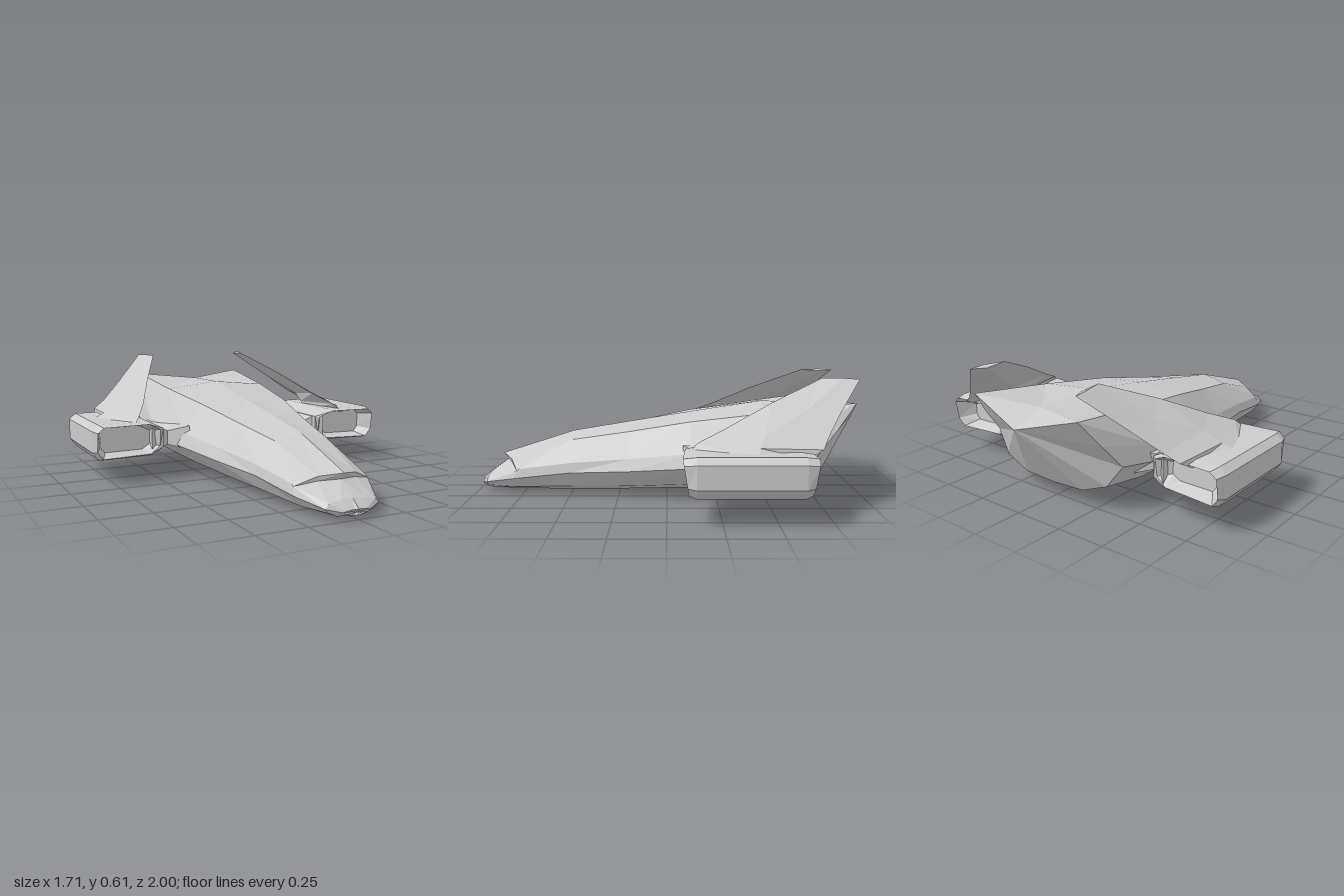
import * as THREE from 'three';

const material = new THREE.MeshStandardMaterial({ color: 0xcccccc, flatShading: true });

// Skin over closed rings of [x, y, z]; each end closes on its centre or a given apex.
function loft(name, rings, apexStart, apexEnd) {
  const n = rings[0].length;
  const centre = ring => [0, 1, 2].map(k => ring.reduce((s, p) => s + p[k], 0) / n);
  const tris = [];
  for (let r = 0; r + 1 < rings.length; r++) {
    for (let i = 0; i < n; i++) {
      const j = (i + 1) % n;
      const a = rings[r][i], b = rings[r][j], c = rings[r + 1][j], d = rings[r + 1][i];
      if (i < n / 2) tris.push([a, b, c], [a, c, d]);
      else tris.push([a, b, d], [b, c, d]); // mirrored diagonal
    }
  }
  const first = rings[0], last = rings[rings.length - 1];
  const s = apexStart || centre(first), e = apexEnd || centre(last);
  for (let i = 0; i < n; i++) {
    const j = (i + 1) % n;
    tris.push([s, first[j], first[i]], [e, last[i], last[j]]);
  }
  // Turn every face outward using the signed volume
  const v = tris.map(t => t.map(p => new THREE.Vector3(...p)));
  const volume = v.reduce((sum, [a, b, c]) => sum + a.dot(b.clone().cross(c)), 0);
  if (volume < 0) v.forEach(t => t.reverse());
  const geometry = new THREE.BufferGeometry().setFromPoints(v.flat());
  geometry.computeVertexNormals();
  const mesh = new THREE.Mesh(geometry, material);
  mesh.name = name;
  return mesh;
}

// Full hull ring from a right-hand half running from keel to spine
function hullRing(z, half) {
  const pts = half.map(([x, y, pz = z]) => [x, y, pz]);
  const other = pts.slice(1, -1).reverse().map(([x, y, pz]) => [-x, y, pz]);
  return [...pts, ...other];
}

function createHull() {
  const lower = [[0, .005], [.1, .007], [.165, .03], [.205, .08]];
  return loft('hull', [
    // nose
    hullRing(.99, [[0, .02, 1], [.03, .02], [.055, .028], [.07, .035, .985], [.05, .042], [.02, .045], [0, .046, 1]]),
    hullRing(.95, [[0, .01], [.08, .012], [.12, .03], [.14, .05], [.12, .07], [.06, .082], [0, .087]]),
    // recess under the brow, then the brow
    hullRing(.8, [...lower, [.2, .12, .78], [.1, .142, .82], [0, .15, .86]]),
    hullRing(.8, [...lower, [.2, .13, .77], [.1, .165, .825], [0, .182, .885]]),
    // body
    hullRing(.5, [[0, 0], [.12, .008], [.2, .04], [.25, .12], [.24, .17], [.14, .275], [0, .305]]),
    hullRing(.2, [[0, .002], [.13, .012], [.24, .05], [.315, .14], [.29, .2], [.19, .325], [0, .355]]),
    hullRing(-.12, [[0, .015], [.15, .022], [.29, .07], [.39, .17], [.365, .24], [.25, .385], [0, .407]]),
    hullRing(-.5, [[0, .045], [.17, .053], [.32, .09], [.425, .2], [.41, .27], [.3, .435], [0, .465]]),
    // stern rim
    hullRing(-.77, [[0, .07], [.18, .078], [.32, .13, -.76], [.4, .24, -.74], [.37, .36, -.84], [.325, .49, -.94], [0, .46, -.83]]),
  ], null, [0, .4, -1]);
}

// Engine pod with hollow ends
const podProfile = [
  [.855, .17], [.855, .28], [.82, .31], [.55, .31],
  [.47, .27], [.47, .17], [.53, .13], [.82, .125],
];
function podRing(z, scale, slant = 0) {
  const cx = .67, cy = .22;
  return podProfile.map(([x, y]) => [
    cx + (x - cx) * scale,
    cy + (y - cy) * scale,
    z + slant * (Math.max(0, .6 - x) * 2 + (.31 - y)), // ends rake back at the inner side and below
  ]);
}
const podRings = [
  podRing(-.18, .7), podRing(-.07, .9, -.15), podRing(-.13, 1),
  podRing(-.61, 1), podRing(-.67, .9, .15), podRing(-.57, .6),
];

// Swept fin leaning inward: leading edge, outer face, trailing edge, inner face
const finRings = [
  [[.295, .612, -.77], [.325, .614, -.87], [.33, .608, -.95], [.295, .604, -.88]],
  [[.425, .5, -.5], [.5, .465, -.65], [.5, .46, -.82], [.44, .46, -.66]],
  [[.53, .39, -.27], [.63, .375, -.45], [.62, .36, -.74], [.55, .365, -.5]],
  [[.6, .335, -.14], [.71, .33, -.42], [.685, .32, -.71], [.56, .32, -.45]],
  [[.64, .29, -.1], [.8, .29, -.4], [.7, .28, -.64], [.57, .28, -.4]],
];

// Short waisted pylon between hull and pod
const pylonRing = (x, y0, y1, z0, z1) => [[x, y0, z0], [x, y1, z0], [x, y1, z1], [x, y0, z1]];
const pylonRings = [
  pylonRing(.34, .15, .28, -.08, -.62),
  pylonRing(.43, .17, .245, -.18, -.54),
  pylonRing(.53, .14, .3, -.14, -.62),
];

export function createModel() {
  const model = new THREE.Group();
  model.name = 'shuttle';
  model.add(createHull());
  for (const [side, sign] of [['left', 1], ['right', -1]]) {
    const flip = rings => rings.map(ring => ring.map(([x, y, z]) => [sign * x, y, z]));
    const wing = new THREE.Group();
    wing.name = side + 'Nacelle';
    wing.add(
      loft(side + 'Pod', flip(podRings)),
      loft(side + 'Fin', flip(finRings)),
      loft(side + 'Pylon', flip(pylonRings)),
    );
    model.add(wing);
  }
  return model;
}
